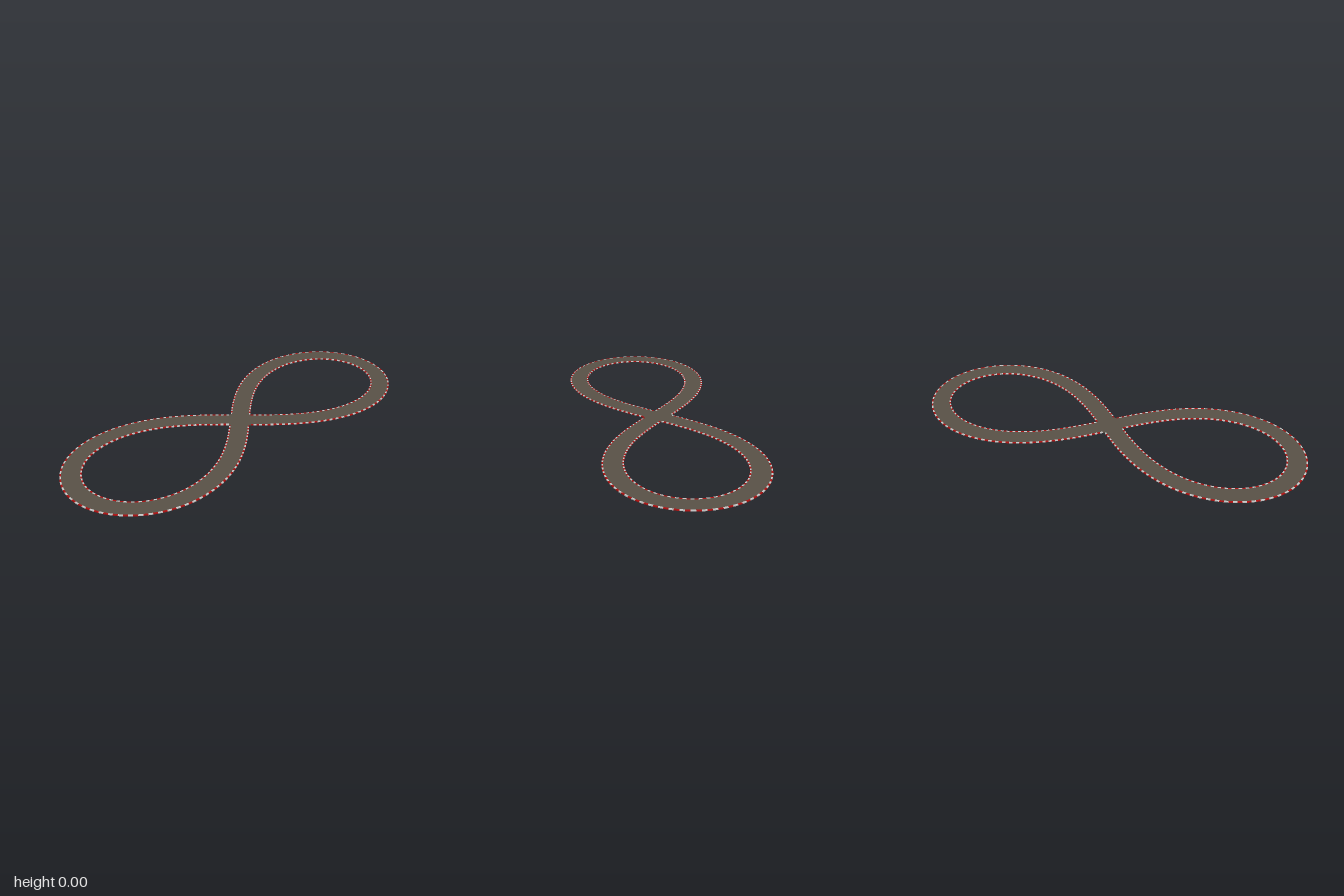
import * as THREE from 'three';

const SEGMENTS = 300;
const HALF_WIDTH = 0.05;
const KERB = 0.007;

// Figure-eight centreline, slightly flattened in z
function centre(t) {
  const d = 1 + Math.sin(t) ** 2;
  return new THREE.Vector2(
    0.95 * Math.cos(t) / d,
    0.96 * 0.95 * Math.sin(t) * Math.cos(t) / d
  );
}

// Point (x, z) at a sideways offset from the centreline
function offsetPoint(i, offset) {
  const t = (i / SEGMENTS) * Math.PI * 2;
  const e = 1e-4;
  const tangent = centre(t + e).sub(centre(t - e)).normalize();
  return centre(t).add(new THREE.Vector2(-tangent.y, tangent.x).multiplyScalar(offset));
}

// Strip of short slabs between two offsets; keep(i, mid) picks the segments
function strip(name, color, from, to, height, keep, capped) {
  const pos = [];
  const quad = (a, b, c, d) => [a, b, c, a, c, d].forEach(p => pos.push(...p));
  for (let i = 0; i < SEGMENTS; i++) {
    if (!keep(i, offsetPoint(i + 0.5, (from + to) / 2))) continue;
    const corners = [[i, from], [i, to], [i + 1, to], [i + 1, from]].map(([k, o]) => offsetPoint(k, o));
    const [A, B, C, D] = corners.map(p => [p.x, height, p.y]);
    const [a, b, c, d] = corners.map(p => [p.x, 0, p.y]);
    quad(A, B, C, D);
    quad(d, c, b, a);
    quad(b, c, C, B);
    quad(d, a, A, D);
    if (capped) {
      quad(a, b, B, A);
      quad(c, d, D, C);
    }
  }
  const geometry = new THREE.BufferGeometry();
  geometry.setAttribute('position', new THREE.Float32BufferAttribute(pos, 3));
  geometry.computeVertexNormals();
  const mesh = new THREE.Mesh(geometry, new THREE.MeshStandardMaterial({ color }));
  mesh.name = name;
  return mesh;
}

export function createModel() {
  const group = new THREE.Group();
  group.name = 'figureEightTrack';

  // Road surface
  const inner = HALF_WIDTH - KERB;
  group.add(strip('road', 0x5a5247, -inner, inner, 0.004, () => true, false));

  // Striped kerbs on both edges, left open across the junction
  for (const [side, from, to] of [['first', -HALF_WIDTH, -inner], ['second', inner, HALF_WIDTH]]) {
    [['Red', 0xb01010], ['White', 0xdddddd]].forEach(([label, color], parity) => {
      const keep = (i, mid) => i % 2 === parity && mid.length() > 0.07;
      group.add(strip(side + 'Kerb' + label, color, from, to, 0.005, keep, true));
    });
  }

  // Road under the kerb lines inside the junction
  const near = (i, mid) => mid.length() <= 0.07;
  group.add(strip('junctionEdgeFirst', 0x5a5247, -HALF_WIDTH, -inner, 0.004, near, true));
  group.add(strip('junctionEdgeSecond', 0x5a5247, inner, HALF_WIDTH, 0.004, near, true));
  return group;
}
